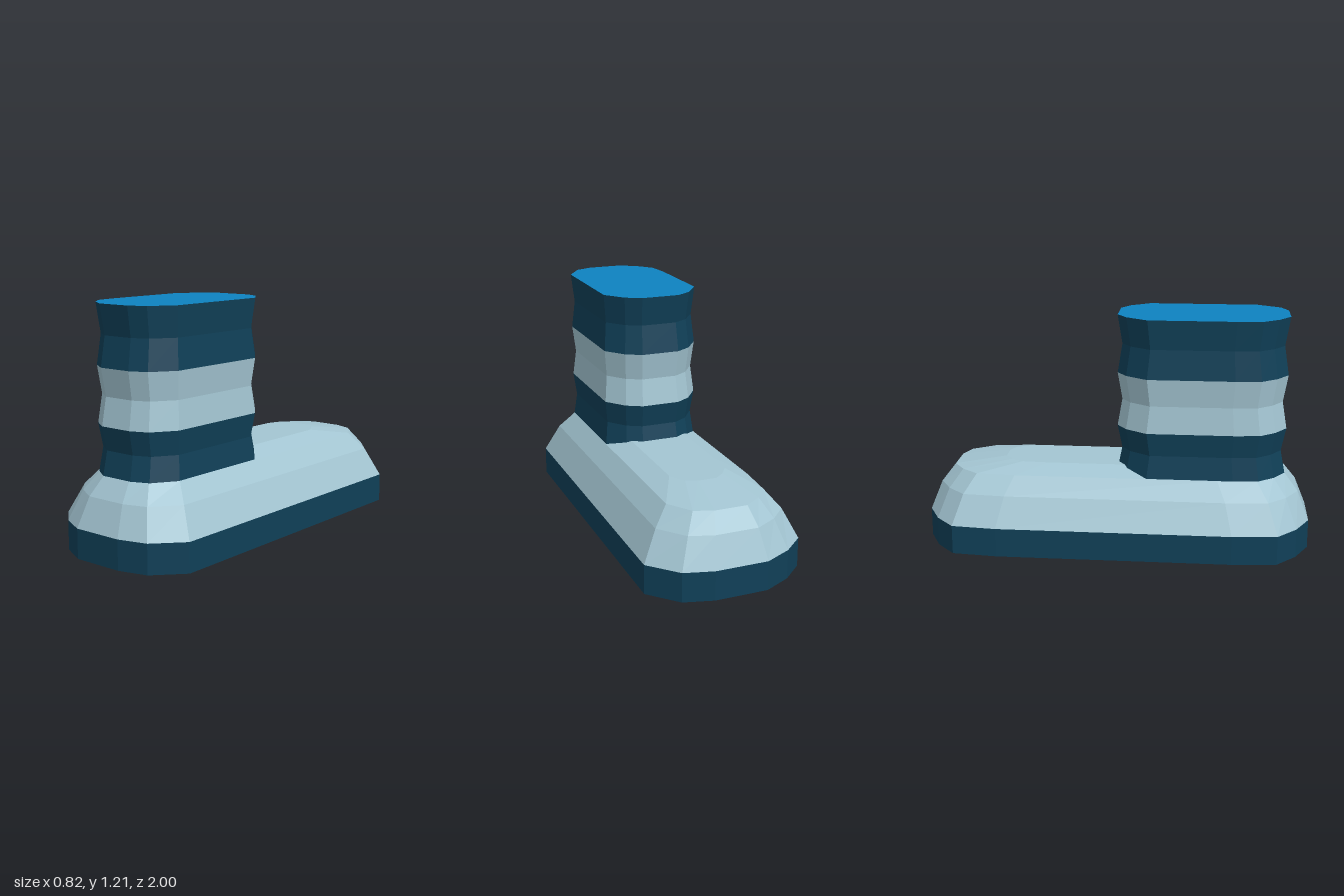
import * as THREE from 'three';

// Sole outline [x, z], clockwise as seen from above
const SOLE = [
  [-0.14, -1], [0.13, -1], [0.28, -0.96], [0.412, -0.82], [0.412, 0.82], [0.28, 0.96], [0.13, 1],
  [-0.14, 1], [-0.28, 0.93], [-0.39, 0.83], [-0.412, 0.6], [-0.412, -0.6], [-0.39, -0.83], [-0.28, -0.93],
];

// Ankle shaft outline, same direction
const SHAFT = [
  [-0.1, 0], [0.1, 0], [0.18, 0.045], [0.258, 0.145], [0.258, 0.715], [0.18, 0.835], [0.09, 0.87],
  [-0.09, 0.87], [-0.18, 0.81], [-0.245, 0.73], [-0.258, 0.6], [-0.258, 0.16], [-0.18, 0.05],
];
const SHAFT_Z = 0.435;

// Outline scaled about (0, cz) and lifted to y
const ring = (outline, y, sx = 1, sz = 1, cz = 0) =>
  outline.map(([x, z]) => [x * sx, y, cz + (z - cz) * sz]);

// Faceted skin through a stack of rings, with optional flat caps
function loft(rings, { top = false, bottom = false } = {}) {
  const pos = [];
  const tri = (...pts) => pts.forEach((p) => pos.push(...p));
  const n = rings[0].length;
  for (let r = 0; r < rings.length - 1; r++) {
    for (let i = 0; i < n; i++) {
      const j = (i + 1) % n;
      const a = rings[r][i], b = rings[r][j], c = rings[r + 1][i], d = rings[r + 1][j];
      tri(b, a, c);
      tri(b, c, d);
    }
  }
  const cap = (loop, up) => {
    for (let i = 1; i < n - 1; i++) {
      if (up) tri(loop[0], loop[i + 1], loop[i]);
      else tri(loop[0], loop[i], loop[i + 1]);
    }
  };
  if (top) cap(rings[rings.length - 1], true);
  if (bottom) cap(rings[0], false);
  const geo = new THREE.BufferGeometry();
  geo.setAttribute('position', new THREE.Float32BufferAttribute(pos, 3));
  geo.computeVertexNormals();
  return geo;
}

export function createModel() {
  const mat = (name, color) => {
    const m = new THREE.MeshStandardMaterial({ color });
    m.name = name;
    return m;
  };
  const navy = mat('navy', 0x104058);
  const pale = mat('paleBlueGrey', 0xa3c5d2);
  const blue = mat('brightBlue', 0x0e82c0);

  const model = new THREE.Group();
  model.name = 'boot';
  const add = (name, geo, material) => {
    const mesh = new THREE.Mesh(geo, material);
    mesh.name = name;
    model.add(mesh);
  };

  // Sole slab
  add('sole', loft([ring(SOLE, 0), ring(SOLE, 0.15)], { bottom: true }), navy);

  // Foot, narrowing to a slightly domed top
  add('foot', loft([
    ring(SOLE, 0.15),
    ring(SOLE, 0.3, 0.815, 0.94),
    ring(SOLE, 0.39, 0.63, 0.87),
    ring(SOLE, 0.43, 0.37, 0.6),
  ], { top: true }), pale);

  // Three pinched bands of the shaft
  const bands = [
    ['lowerBand', 0.39, 0.51, 0.63, navy],
    ['middleBand', 0.63, 0.77, 0.91, pale],
    ['upperBand', 0.91, 1.06, 1.21, navy],
  ];
  for (const [name, y0, y1, y2, material] of bands) {
    add(name, loft([
      ring(SHAFT, y0),
      ring(SHAFT, y1, 0.945, 0.945, SHAFT_Z),
      ring(SHAFT, y2),
    ]), material);
  }

  // Flat lid on the shaft
  add('shaftTop', loft([ring(SHAFT, 1.21)], { top: true }), blue);

  return model;
}
